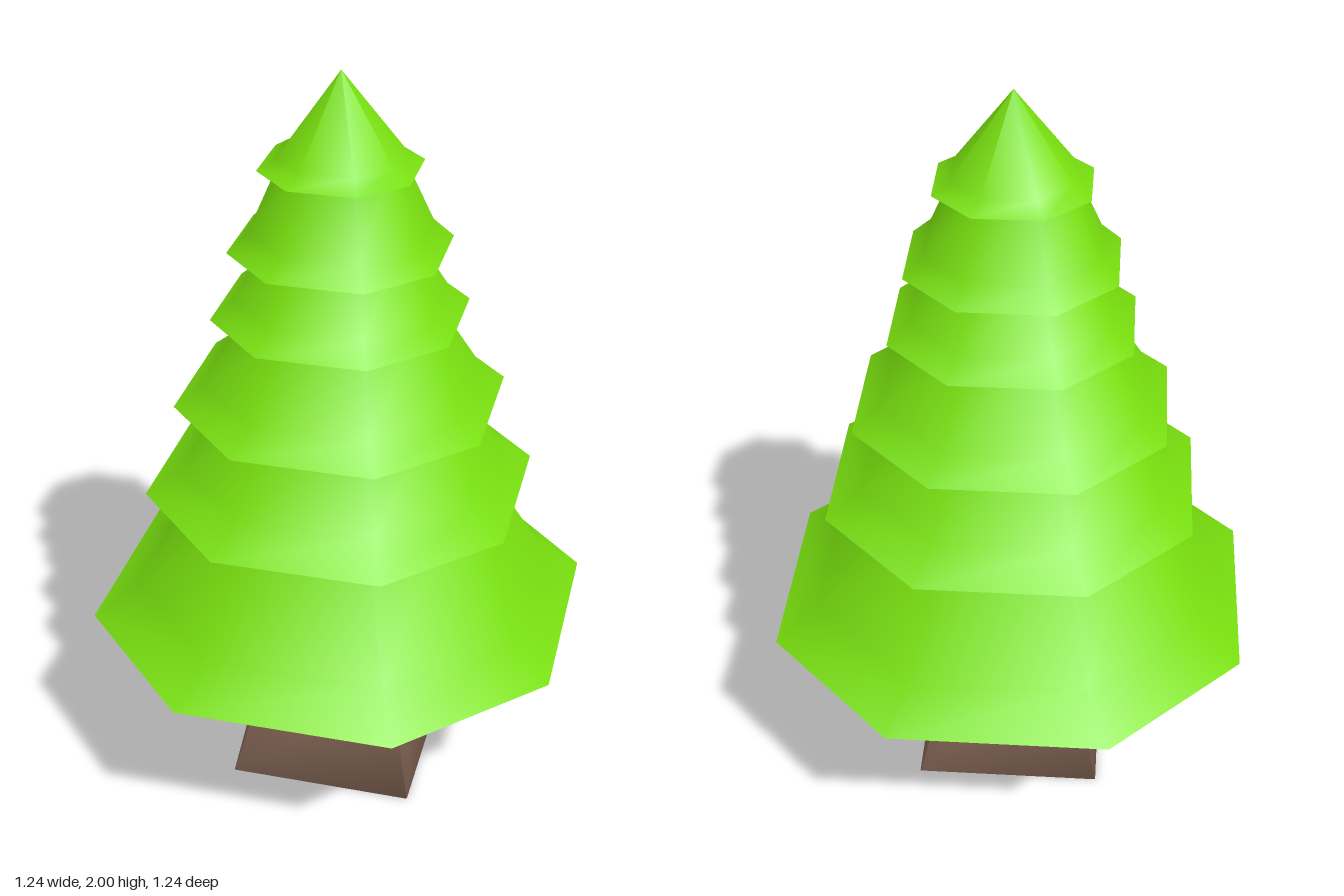
import * as THREE from 'three';

const leafGreen = new THREE.MeshStandardMaterial({ color: 0x78df0e });
leafGreen.name = 'leaf green';
const barkBrown = new THREE.MeshStandardMaterial({ color: 0x8b6b5a });
barkBrown.name = 'bark brown';

// Smooth loft through chamfered-square rings: [y, half width, half flat / half width]
function loft(rings) {
  const pos = [], index = [];
  for (const [y, h, k = 0.455] of rings) {
    const f = h * k;
    const ring = [[h, -f], [h, f], [f, h], [-f, h], [-h, f], [-h, -f], [-f, -h], [f, -h]];
    for (const [x, z] of ring) pos.push(x, y, z);
  }
  for (let i = 0; i < rings.length - 1; i++) {
    for (let j = 0; j < 8; j++) {
      const a = i * 8 + j, b = i * 8 + (j + 1) % 8;
      index.push(a, a + 8, b, b, a + 8, b + 8);
    }
  }
  const geo = new THREE.BufferGeometry();
  geo.setAttribute('position', new THREE.Float32BufferAttribute(pos, 3));
  geo.setIndex(index);
  geo.computeVertexNormals();
  return geo;
}

function part(name, rings, material) {
  const mesh = new THREE.Mesh(loft(rings), material);
  mesh.name = name;
  return mesh;
}

export function createModel() {
  const tree = new THREE.Group();
  tree.name = 'pineTree';

  // Trunk: square flared foot, turning eight-sided as it rises through the tiers
  tree.add(part('trunk', [
    [0, 0, 0.99], [0, 0.25, 0.99], [0.3, 0.188, 0.9], [0.5, 0.175, 0.75], [0.88, 0.167, 0.55],
    [1.15, 0.143, 0.5], [1.4, 0.125, 0.47], [1.78, 0.09, 0.45], [1.78, 0, 0.45],
  ], barkBrown));

  // Foliage tiers: rim y and half width, bend y and half width, upper end y and half width
  const tiers = [
    [0.5, 0.622, 0.595, 0.51, 0.91, 0.33],
    [0.875, 0.476, 0.95, 0.385, 1.15, 0.275],
    [1.13, 0.398, 1.19, 0.33, 1.39, 0.215],
    [1.37, 0.305, 1.42, 0.25, 1.57, 0.165],
    [1.55, 0.262, 1.6, 0.213, 1.78, 0.138],
    [1.76, 0.19, 1.79, 0.146, 2, 0],
  ];
  tiers.forEach(([y0, r0, y1, r1, y2, r2], i) => {
    const tier = new THREE.Group();
    tier.name = 'foliageTier' + (i + 1);
    const tip = r2 === 0;
    tier.add(part('outerBoughs', [[y0, r0], [y1, r1], [y2, r2]], leafGreen));
    // Hollow underside with a thin lip at the rim
    const inside = tip
      ? [[1.97, 0], [y1 - 0.01, r1 - 0.015], [y0 + 0.005, r0 - 0.015]]
      : [[y2 - 0.01, 0.08], [y2 - 0.01, r2 - 0.015], [y1 - 0.01, r1 - 0.015], [y0 + 0.005, r0 - 0.015]];
    tier.add(part('underside', inside, leafGreen));
    tier.add(part('rim', [[y0 + 0.005, r0 - 0.015], [y0, r0]], leafGreen));
    // Ledge closing the tier against the trunk
    if (!tip) tier.add(part('topLedge', [[y2, r2], [y2 + 0.01, 0.08]], leafGreen));
    tree.add(tier);
  });
  return tree;
}
